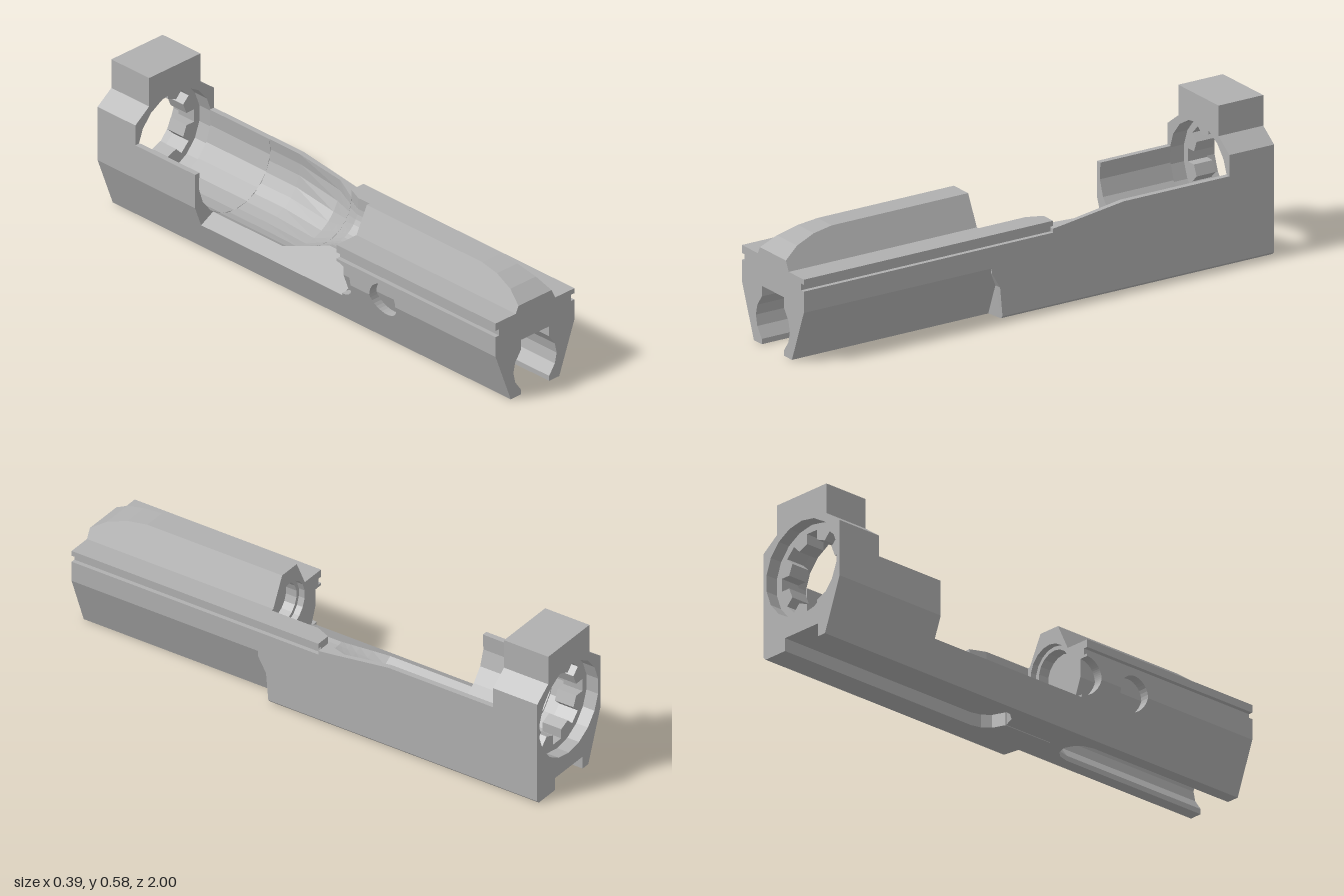
import * as THREE from 'three';

const BORE_Y = 0.295;

// Lofted solid through loops of [x, y] points (counter-clockwise), each at its own z
function loft(stations) {
  const pos = [];
  const put = (z, p) => pos.push(p[0], p[1], z);
  for (let k = 0; k < stations.length - 1; k++) {
    const [z0, a] = stations[k], [z1, b] = stations[k + 1];
    a.forEach((p, i) => {
      const j = (i + 1) % a.length;
      put(z0, p); put(z0, a[j]); put(z1, b[j]);
      put(z0, p); put(z1, b[j]); put(z1, b[i]);
    });
  }
  const cap = ([z, loop], flip) => {
    const pts = loop.map(p => new THREE.Vector2(p[0], p[1]));
    for (const f of THREE.ShapeUtils.triangulateShape(pts, []))
      (flip ? [f[2], f[1], f[0]] : f).forEach(i => put(z, loop[i]));
  };
  cap(stations[0], true);
  cap(stations[stations.length - 1], false);
  const g = new THREE.BufferGeometry();
  g.setAttribute('position', new THREE.Float32BufferAttribute(pos, 3));
  g.computeVertexNormals();
  return g;
}

// Straight prism along z, with optional holes
function prism(outline, z0, z1, holes = []) {
  const toV = l => l.map(p => new THREE.Vector2(p[0], p[1]));
  const shape = new THREE.Shape(toV(outline));
  holes.forEach(h => shape.holes.push(new THREE.Path(toV(h))));
  const g = new THREE.ExtrudeGeometry(shape, { depth: z1 - z0, bevelEnabled: false });
  g.translate(0, 0, z0);
  return g;
}

function circle(r, y, n = 18) {
  return Array.from({ length: n }, (_, i) => {
    const a = Math.PI / 2 + i * 2 * Math.PI / n;
    return [r * Math.cos(a), y + r * Math.sin(a)];
  });
}

// Trough section: bore radius r, right wall top, slot half-width w,
// h = height of the side bevel (0 for a full-width base), port = side wall cut away
function troughLoop(r, top, w, h, port) {
  const a1 = Math.asin((top - BORE_Y) / r);
  let a0 = -Math.PI - a1;
  if (port) {
    const x = (0.0929 - Math.sqrt(0.00863 + 5.1664 * (r * r - 0.0074))) / 2.5832;
    a0 = Math.atan2(0.54 * x - 0.086, x);
  }
  const base = h ? [[0.12, 0], [0.12 + 0.375 * h, h], [0.195, h]]
    : [[0.185, 0], [0.19, 0.005], [0.195, 0.01]];
  const arc = [];
  for (let i = 0; i <= 10; i++) {
    const a = a1 + (a0 - a1) * i / 10;
    arc.push([r * Math.cos(a), BORE_Y + r * Math.sin(a)]);
  }
  return [[-0.12, 0], [-w, 0], [-w, 0.05], [w, 0.05], [w, 0], ...base, [0.195, top], ...arc,
    ...(port ? [[-0.165, 0.12]] : [[-0.195, top], [-0.195, 0.2]])];
}

// Front section above the bottom edge: grooved rails and a ridge of height h
function frontUpper(h) {
  const w = 0.095 - (h - 0.335) * 0.49;
  return [[0.12, 0], [0.195, 0.2], [0.195, 0.28], [0.178, 0.28], [0.178, 0.305], [0.195, 0.305],
    [0.195, 0.325], [0.1, 0.325], [w, h], [-w, h], [-0.095, 0.335], [-0.195, 0.335],
    [-0.195, 0.305], [-0.178, 0.305], [-0.178, 0.28], [-0.16, 0.28], [-0.16, 0.2], [-0.085, 0]];
}

// Front section with the keyhole channel, its width scaled by s
function frontLoop(h, s) {
  const half = [[0.07, 0], [0.07, 0.02], [0.098, 0.06], [0.107, 0.1], [0.098, 0.14], [0.07, 0.18], [0.07, 0.22]];
  return [...half.map(([x, y]) => [-x * s, y]),
    ...half.slice().reverse().map(([x, y]) => [x * s, y]), ...frontUpper(h)];
}

// Half of the pierced right side wall; dir -1 is below y = 0.2, +1 above
function sideWall(dir, edge) {
  const s = new THREE.Shape();
  s.moveTo(-1, edge);
  s.lineTo(-0.2, edge);
  s.lineTo(-0.2, 0.2 + dir * 0.07);
  s.absarc(-0.2, 0.2, 0.07, dir * Math.PI / 2, dir * Math.PI, dir < 0);
  s.lineTo(-0.365, 0.2);
  s.absarc(-0.43, 0.2, 0.065, 0, dir * Math.PI, dir < 0);
  s.lineTo(-1, 0.2);
  const g = new THREE.ExtrudeGeometry(s, { depth: 0.035, bevelEnabled: false, curveSegments: 8 });
  g.rotateY(Math.PI / 2);
  const p = g.attributes.position;
  for (let i = 0; i < p.count; i++)
    p.setX(i, p.getX(i) - 0.12 - 0.375 * Math.min(p.getY(i), 0.2));
  g.computeVertexNormals();
  return g;
}

export function createModel() {
  const model = new THREE.Group();
  const gray = new THREE.MeshStandardMaterial({ color: 0xb0b0b0 });
  gray.name = 'gray';
  const add = (name, geometry) => {
    const m = new THREE.Mesh(geometry, gray);
    m.name = name;
    model.add(m);
  };

  // Rear block with its round bore
  add('rearBlock', prism([[-0.12, 0], [-0.085, 0], [-0.085, 0.05], [0.085, 0.05], [0.085, 0],
    [0.185, 0], [0.195, 0.01], [0.195, 0.415], [0.127, 0.465], [0.127, 0.58], [-0.127, 0.58],
    [-0.127, 0.465], [-0.195, 0.415], [-0.195, 0.2]], -1, -0.81, [circle(0.183, BORE_Y)]));

  // Ring of lugs separated by eight radial slots
  const slots = [];
  for (let i = 0; i < 8; i++) {
    const a = Math.PI / 2 + i * Math.PI / 4, c = Math.cos(a), s = Math.sin(a);
    for (const [r, t] of [[0.117, -0.025], [0.155, -0.025], [0.155, 0.025], [0.117, 0.025]])
      slots.push([r * c - t * s, BORE_Y + r * s + t * c]);
  }
  add('lugRing', prism(circle(0.184, BORE_Y), -0.95, -0.87, [slots]));

  // Open trough: walled rear part, then the part with the side port
  add('rearTrough', loft([-0.81, -0.51].map(z => [z, troughLoop(0.178, 0.335, 0.085, 0, false)])));
  add('portTrough', loft([
    // z, radius, wall top, slot half-width, bevel height
    [-0.51, 0.178, 0.335, 0.085, 0],
    [-0.36, 0.178, 0.335, 0.085, 0],
    [-0.16, 0.178, 0.308, 0.085, 0],
    [-0.1, 0.1525, 0.3, 0.085, 0],
    [-0.06, 0.1355, 0.295, 0.075, 0],
    [-0.06, 0.1355, 0.28, 0.075, 0],
    [-0.03, 0.1228, 0.28, 0.05, 0],
    [-0.01, 0.1143, 0.28, 0.002, 0],
    [0, 0.11, 0.28, 0.002, 0],
    [0.155, 0.11, 0.28, 0.002, 0],
    [0.165, 0.11, 0.28, 0.002, 0.12],
    [0.2, 0.11, 0.28, 0.002, 0.18],
  ].map(([z, r, top, w, h]) => [z, troughLoop(r, top, w, h, true)])));

  // Left rail running back past the front block
  const rail = x => [[x, 0.28], [0.178, 0.28], [0.178, 0.305], [0.195, 0.305], [0.195, 0.325], [x, 0.325]];
  add('railTail', loft([[-0.06, rail(0.135)], [0, rail(0.11)], [0.2, rail(0.11)]]));

  // Front block: bored rear end, then the channelled body with a sloping ridge
  add('frontBlockEnd', prism(frontUpper(0.437), 0.2, 0.27, [circle(0.095, 0.285)]));
  add('boreStep', prism(circle(0.095, 0.285), 0.225, 0.27, [circle(0.08, 0.285)]));
  add('frontBlock', loft([
    [0.27, 0.437, 0.02], [0.285, 0.437, 0.55], [0.31, 0.437, 0.85], [0.35, 0.437, 1],
    [0.78, 0.437, 1], [0.86, 0.426, 1], [0.94, 0.4, 1], [1, 0.362, 1],
  ].map(([z, h, s]) => [z, frontLoop(h, s)])));

  // Right side wall with its two openings
  add('lowerSideWall', sideWall(-1, 0));
  add('upperSideWall', sideWall(1, 0.28));

  return model;
}
